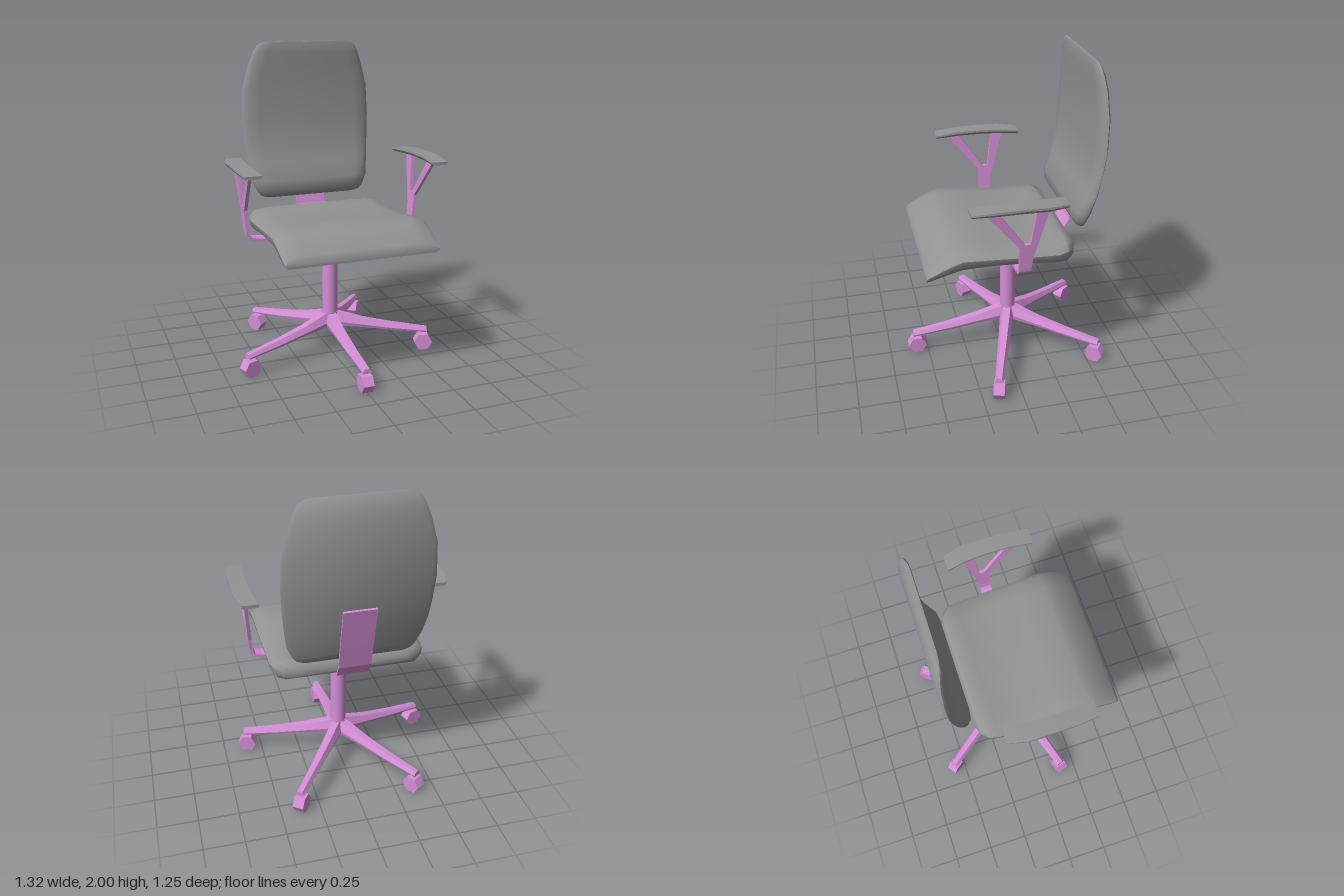
import * as THREE from 'three';
import { toCreasedNormals } from 'three/addons/utils/BufferGeometryUtils.js';

const fabric = new THREE.MeshStandardMaterial({ color: 0x939393 });
fabric.name = 'grey fabric';
const metal = new THREE.MeshStandardMaterial({ color: 0xd48fd6 });
metal.name = 'pink metal';

function part(name, geometry, material) {
  const mesh = new THREE.Mesh(geometry, material);
  mesh.name = name;
  return mesh;
}

// Closed loft. rows: [station, halfWidth, low, high, centreX]; half: right-hand
// section points [u, t] from low to high, mirrored to complete each ring.
function loft(rows, half, place, crease) {
  const ring = [...half, ...half.map(([u, t]) => [-u, t]).reverse()];
  const n = ring.length, pos = [], idx = [];
  for (const [s, w, lo, hi, cx = 0] of rows)
    for (const [u, t] of ring) pos.push(...place(cx + u * w, lo + (hi - lo) * t, s));
  for (let i = 0; i < rows.length - 1; i++)
    for (let j = 0; j < n; j++) {
      const a = i * n + j, b = i * n + (j + 1) % n;
      idx.push(a, b, b + n, a, b + n, a + n);
    }
  const end = (rows.length - 1) * n;
  for (let j = 1; j < n - 1; j++) idx.push(0, j + 1, j, end, end + j, end + j + 1);
  const g = new THREE.BufferGeometry();
  g.setAttribute('position', new THREE.Float32BufferAttribute(pos, 3));
  g.setIndex(idx);
  return toCreasedNormals(g, crease);
}
const alongZ = (x, y, z) => [x, y, z];
const alongY = (x, z, y) => [x, y, z];

// Flat outline extruded to a depth, centred on the extrusion axis
function slab(points, depth) {
  const shape = new THREE.Shape(points.map(([x, y]) => new THREE.Vector2(x, y)));
  return new THREE.ExtrudeGeometry(shape, { depth, bevelEnabled: false }).translate(0, 0, -depth / 2);
}

// Bent strip of constant thickness following a polyline
function strip(path, thickness, depth) {
  const p = path.map(([x, y]) => new THREE.Vector2(x, y));
  const side = (k) => p.map((q, i) => {
    const a = p[Math.max(i - 1, 0)], b = p[Math.min(i + 1, p.length - 1)];
    const d = b.clone().sub(a).normalize();
    return [q.x - d.y * k, q.y + d.x * k];
  });
  return slab([...side(-thickness / 2), ...side(thickness / 2).reverse()], depth);
}

export function createModel() {
  const chair = new THREE.Group();
  chair.name = 'officeChair';
  const cz = -0.05; // column axis

  // Seat cushion with a drooping front edge
  chair.add(part('seat', loft([
    [-0.375, 0.36, 0.86, 0.90], [-0.355, 0.42, 0.838, 0.935], [-0.31, 0.465, 0.83, 0.95],
    [-0.25, 0.478, 0.833, 0.935], [-0.05, 0.483, 0.855, 0.94], [0.15, 0.488, 0.868, 0.957],
    [0.33, 0.492, 0.868, 0.977], [0.40, 0.49, 0.85, 0.95], [0.53, 0.485, 0.81, 0.875],
    [0.548, 0.482, 0.812, 0.85],
  ], [[0.95, 0], [0.99, 0.25], [1, 0.6], [0.93, 0.88], [0.75, 1]], alongZ, 0.8), fabric));

  // Curved backrest, listed from top to bottom
  chair.add(part('backrest', loft([
    [2.0, 0.30, -0.495, -0.478], [1.975, 0.34, -0.508, -0.474], [1.93, 0.365, -0.522, -0.475],
    [1.85, 0.395, -0.535, -0.48], [1.70, 0.435, -0.541, -0.484], [1.50, 0.445, -0.536, -0.48],
    [1.35, 0.436, -0.518, -0.465], [1.22, 0.425, -0.497, -0.434], [1.10, 0.405, -0.47, -0.382],
    [1.03, 0.375, -0.453, -0.382], [1.0, 0.35, -0.445, -0.397], [0.985, 0.31, -0.438, -0.42],
  ], [[0.93, 0], [1, 0.3], [0.98, 0.6], [0.9, 0.9], [0.75, 1]], alongY, 0.8), fabric));

  // Bracket carrying the backrest
  const bracket = strip([[0.02, 0.826], [-0.37, 0.832], [-0.39, 0.845], [-0.433, 0.92],
    [-0.472, 1.08], [-0.534, 1.34]], 0.014, 0.2);
  chair.add(part('backBracket', bracket.rotateY(-Math.PI / 2), metal));

  // Crossbar under the seat, turned up at both ends
  const bend = [[0.556, 0.9], [0.55, 0.865], [0.535, 0.845], [0.49, 0.835], [0.4, 0.828]];
  const bar = strip([...bend.map(([x, y]) => [-x, y]), ...bend.reverse()], 0.02, 0.075);
  chair.add(part('armCrossbar', bar.translate(0, 0, -0.016), metal));

  for (const s of [1, -1]) {
    const label = s > 0 ? 'left' : 'right';
    // Y-shaped arm support, leaning outwards towards the top
    const arm = slab([[-0.052, 0.88], [0.022, 0.88], [0.022, 1.03], [0.235, 1.29], [0.16, 1.29],
      [-0.01, 1.05], [-0.042, 1.05], [-0.075, 1.29], [-0.15, 1.29], [-0.064, 0.97]], 0.02);
    arm.rotateY(-Math.PI / 2);
    const p = arm.attributes.position;
    for (let i = 0; i < p.count; i++)
      p.setX(i, p.getX(i) + s * (0.556 + (p.getY(i) - 0.88) * 0.078));
    arm.computeVertexNormals();
    chair.add(part(label + 'ArmSupport', arm, metal));

    // Bowed armrest pad
    chair.add(part(label + 'ArmPad', loft([
      [-0.25, 0.052, 1.28, 1.303, s * 0.572], [-0.13, 0.057, 1.283, 1.312, s * 0.598],
      [0.0, 0.053, 1.286, 1.316, s * 0.602], [0.15, 0.053, 1.286, 1.314, s * 0.602],
      [0.31, 0.052, 1.283, 1.303, s * 0.588],
    ], [[0.8, 0], [1, 0.55], [0.97, 1]], alongZ, 0.5), fabric));
  }

  // Gas column and hub
  const column = part('column', new THREE.CylinderGeometry(0.05, 0.05, 0.54, 20), metal);
  column.position.set(0, 0.54, cz);
  const hub = part('hub', new THREE.CylinderGeometry(0.055, 0.045, 0.1, 10), metal);
  hub.position.set(0, 0.227, cz);
  chair.add(column, hub);

  // Five-legged base with hexagonal casters
  const legGeo = loft([
    [0, 0.045, 0.185, 0.28], [0.05, 0.045, 0.182, 0.272], [0.22, 0.04, 0.168, 0.223],
    [0.40, 0.034, 0.143, 0.188], [0.645, 0.028, 0.12, 0.15],
  ], [[0.85, 0], [1, 0.35], [0.55, 1]], alongZ, 0.35);
  const wheelGeo = toCreasedNormals(
    new THREE.CylinderGeometry(0.06, 0.06, 0.07, 6).rotateZ(Math.PI / 2), 0.3);
  for (let i = 0; i < 5; i++) {
    const spoke = new THREE.Group();
    spoke.name = 'baseSpoke' + (i + 1);
    const caster = part('caster', wheelGeo, metal);
    caster.position.set(0, 0.053, 0.622);
    spoke.add(part('baseLeg', legGeo, metal), caster);
    spoke.position.z = cz;
    spoke.rotation.y = i * Math.PI * 2 / 5;
    chair.add(spoke);
  }
  return chair;
}
